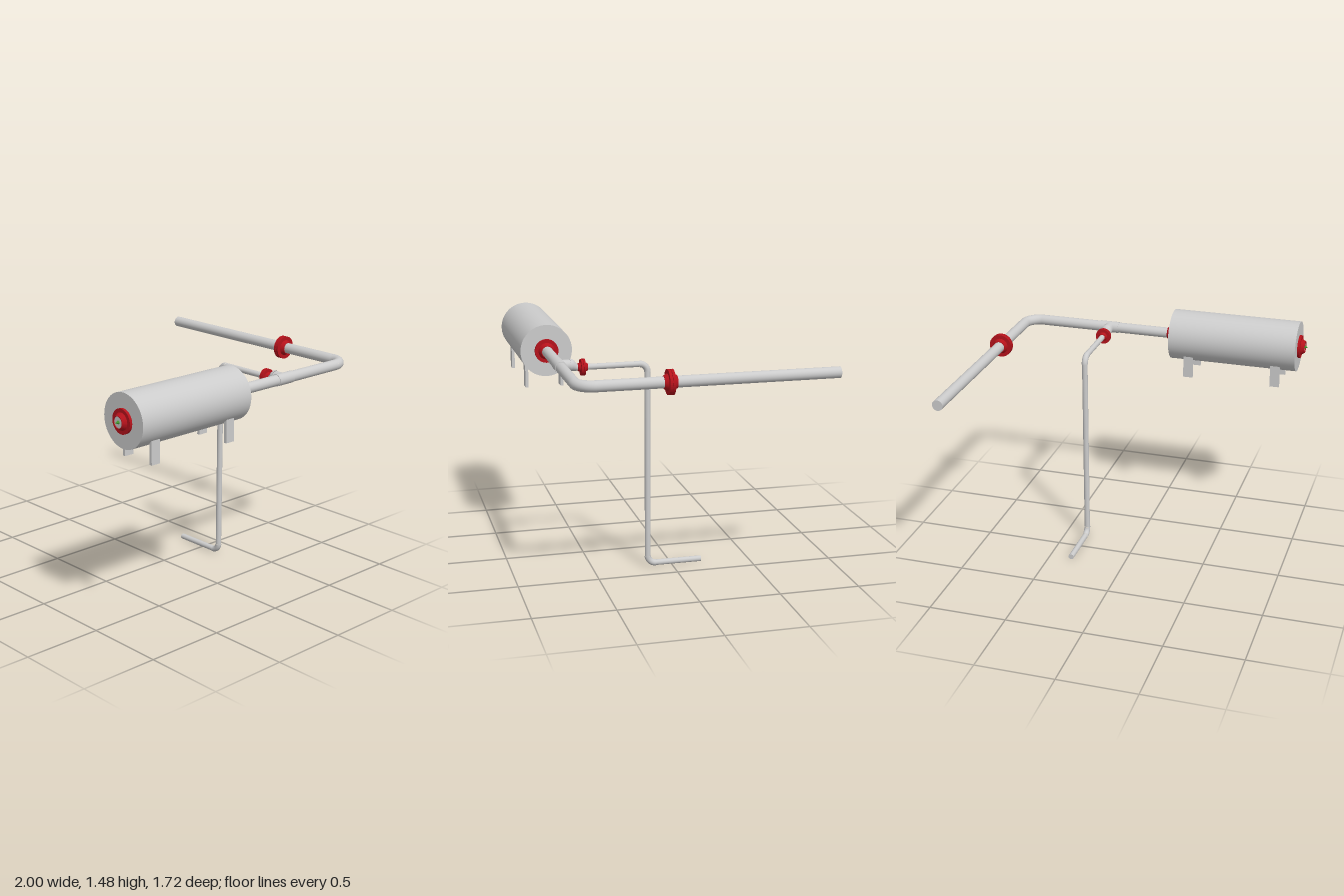
import * as THREE from 'three';

const grey = new THREE.MeshStandardMaterial({ color: 0xcccccc });
const red = new THREE.MeshStandardMaterial({ color: 0xb5121b });
const green = new THREE.MeshStandardMaterial({ color: 0x3f9a2f });

const V = (x, y, z) => new THREE.Vector3(x, y, z);
const UP = V(0, 1, 0);

export function createModel() {
  const model = new THREE.Group();
  const Y = 1.32, Z = 0.695;            // main axis height and depth
  const R = 0.034, r = 0.018;           // main and branch pipe radii
  const bx = 0.35, by = Y - (R - r);    // branch axis, level with the main pipe's underside
  const mx = 0.925;                     // x of the long outlet run

  const add = (name, geometry, material = grey) => {
    const mesh = new THREE.Mesh(geometry, material);
    mesh.name = name;
    model.add(mesh);
    return mesh;
  };

  // Straight capped cylinder between two points
  const rod = (name, a, b, radius, material = grey, segments = 32) => {
    const mesh = add(name, new THREE.CylinderGeometry(radius, radius, a.distanceTo(b), segments), material);
    mesh.position.copy(a).add(b).multiplyScalar(0.5);
    mesh.quaternion.setFromUnitVectors(UP, b.clone().sub(a).normalize());
  };

  // Quarter bend
  const elbow = (name, centre, bend, radius, orient) => {
    const geometry = new THREE.TorusGeometry(bend, radius, 24, 20, Math.PI / 2);
    orient(geometry);
    add(name, geometry).position.copy(centre);
  };

  // Weld-neck flange: flat disc at the base, hub tapering along dir; the bore stays open
  const flange = (name, base, dir, disc, thick, hub, length, bore) => {
    const rings = [[bore, 0], [disc, 0], [disc, thick], [hub, thick], [bore + 0.004, length], [bore, length], [bore, 0]];
    const points = [];
    // Doubled corner points keep the edges sharp
    rings.forEach(([radius, h], i) => {
      points.push(new THREE.Vector2(radius, h));
      if (i > 0 && i < rings.length - 1) points.push(new THREE.Vector2(radius, h));
    });
    const geometry = new THREE.LatheGeometry(points, 40).toNonIndexed();
    geometry.deleteAttribute('normal');
    geometry.computeVertexNormals();
    const mesh = add(name, geometry, red);
    mesh.position.copy(base);
    mesh.quaternion.setFromUnitVectors(UP, dir);
  };

  // Two flanges bolted face to face along z
  const flangePair = (name, x, y, z, ...size) => {
    for (const s of [-1, 1]) flange(name, V(x, y, z + s * 0.001), V(0, 0, s), ...size);
  };

  // Tank with four flat legs
  rod('tank', V(-0.94, Y, Z), V(-0.1, Y, Z), 0.163, grey, 64);
  for (const x of [-0.81, -0.228]) {
    for (const s of [-1, 1]) {
      add('tankLeg', new THREE.BoxGeometry(0.062, 0.15, 0.019)).position.set(x, 1.143, Z + s * 0.112);
    }
  }

  // Tank end nozzles
  flange('outletFlange', V(-0.1, Y, Z), V(1, 0, 0), 0.074, 0.017, 0.052, 0.042, R);
  flange('inletFlange', V(-0.94, Y, Z), V(-1, 0, 0), 0.074, 0.017, 0.052, 0.042, R);
  rod('inletNozzle', V(-0.94, Y, Z), V(-0.977, Y, Z), R);
  const tip = add('inletMarker', new THREE.ConeGeometry(0.011, 0.024, 16), green);
  tip.rotation.z = Math.PI / 2;
  tip.position.set(-0.988, Y, Z);

  // Main pipe, bend and long outlet run
  const bend = 0.1;
  rod('mainPipe', V(-0.1, Y, Z), V(mx - bend, Y, Z), R);
  elbow('mainElbow', V(mx - bend, Y, Z - bend), bend, R, g => g.rotateX(Math.PI / 2));
  rod('outletPipe', V(mx, Y, Z - bend), V(mx, Y, -0.86), R);
  flangePair('outletRunFlange', mx, Y, 0.164, 0.074, 0.016, 0.05, 0.038, R);

  // Tee sleeve and its branch
  rod('teeSleeve', V(bx - 0.065, Y, Z), V(bx + 0.065, Y, Z), 0.037);
  rod('teeBranch', V(bx, Y, Z), V(bx, Y, 0.63), R);

  // Eccentric reducer: each ring drops so that the underside stays level
  const profile = [[0.036, 0], [0.036, 0.014], [0.031, 0.026], [0.023, 0.038], [0.019, 0.047]]
    .map(([radius, h]) => new THREE.Vector2(radius, h));
  const reducer = new THREE.LatheGeometry(profile, 32).rotateX(-Math.PI / 2);
  const pos = reducer.attributes.position;
  for (let i = 0; i < pos.count; i++) {
    const radius = Math.hypot(pos.getX(i), pos.getY(i));
    pos.setY(i, pos.getY(i) - (0.036 - radius));
  }
  reducer.computeVertexNormals();
  const cone = add('reducer', reducer);
  cone.material = grey.clone();
  cone.material.side = THREE.DoubleSide;
  cone.position.set(bx, Y, 0.63);

  // Branch pipe: back, down, then back again near the ground
  const b = 0.05, dz = 0.155, low = 0.02;
  rod('branchPipe', V(bx, by, 0.6), V(bx, by, dz + b), r);
  flangePair('branchFlange', bx, by, 0.554, 0.05, 0.012, 0.03, 0.029, r);
  elbow('upperElbow', V(bx, by - b, dz + b), b, 0.02, g => g.rotateY(Math.PI / 2));
  rod('downPipe', V(bx, by - b, dz), V(bx, low + b, dz), r);
  elbow('lowerElbow', V(bx, low + b, dz - b), b, 0.02, g => g.rotateX(Math.PI).rotateY(-Math.PI / 2));
  rod('drainPipe', V(bx, low, dz - b), V(bx, low, -0.19), r);

  return model;
}
